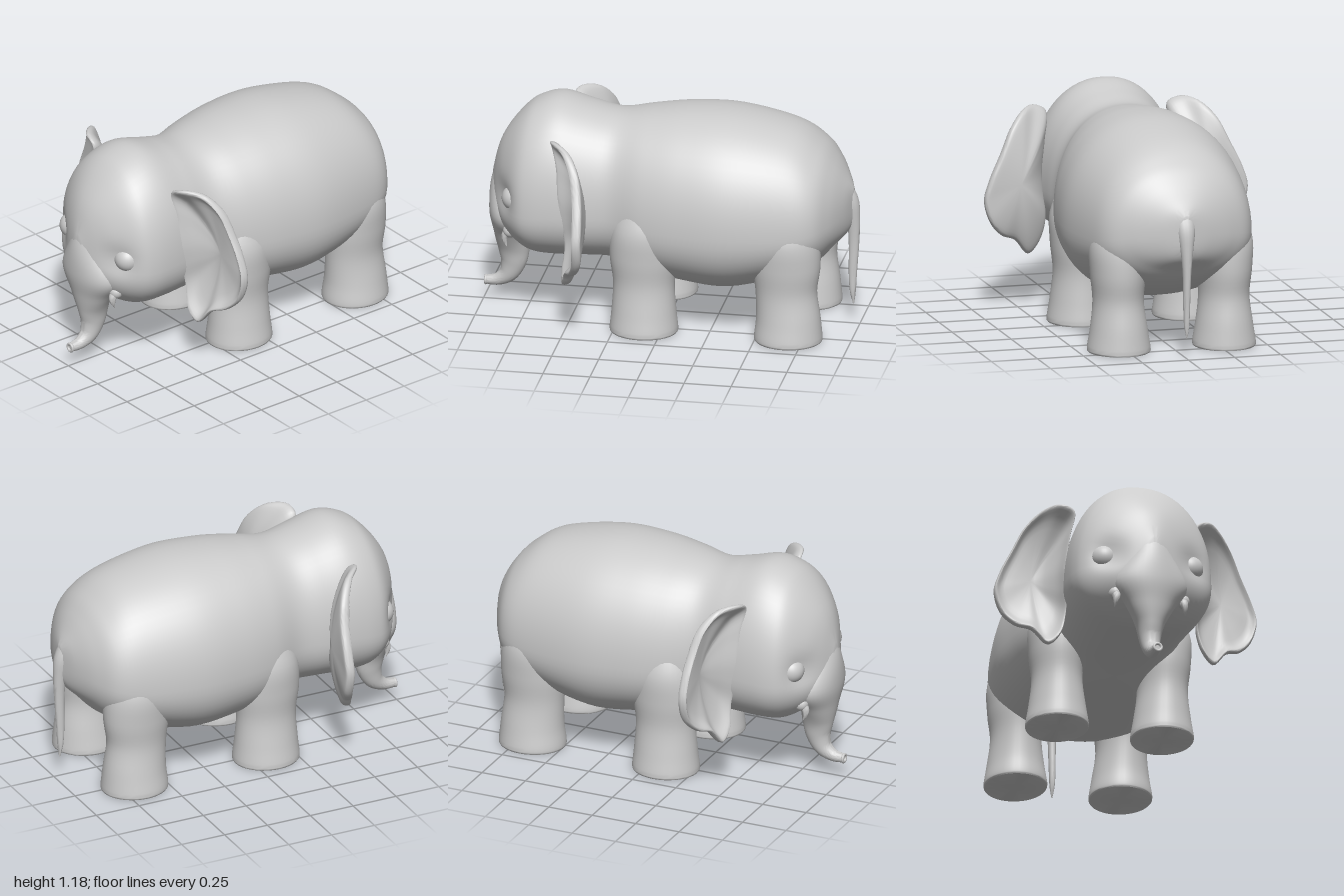
import * as THREE from 'three';
import { toCreasedNormals } from 'three/addons/utils/BufferGeometryUtils.js';

const material = new THREE.MeshStandardMaterial({ color: 0xcccccc, roughness: 0.8 });

// Smoothly resample rows of numbers (Catmull-Rom), n steps per span
function smoothRows(rows, n) {
  const at = (i) => rows[Math.max(0, Math.min(rows.length - 1, i))];
  const out = [];
  for (let i = 0; i < rows.length - 1; i++) {
    for (let k = 0; k < n; k++) {
      const t = k / n;
      out.push(rows[i].map((b, j) => {
        const a = at(i - 1)[j], c = at(i + 1)[j], d = at(i + 2)[j];
        return 0.5 * (2 * b + (c - a) * t + (2 * a - 5 * b + 4 * c - d) * t * t + (3 * b - a - 3 * c + d) * t ** 3);
      }));
    }
  }
  out.push(rows[rows.length - 1]);
  return out;
}

// Skin a list of closed rings and cap both ends
function loft(rings) {
  const m = rings[0].length, pos = [], idx = [];
  rings.forEach((r) => r.forEach((p) => pos.push(p.x, p.y, p.z)));
  for (let i = 0; i < rings.length - 1; i++) {
    for (let j = 0; j < m; j++) {
      const k = (j + 1) % m, a = i * m + j, b = i * m + k;
      idx.push(a, b, b + m, a, b + m, a + m);
    }
  }
  [0, rings.length - 1].forEach((i) => {
    const c = rings[i].reduce((s, p) => s.add(p), new THREE.Vector3()).divideScalar(m);
    const ci = pos.length / 3;
    pos.push(c.x, c.y, c.z);
    for (let j = 0; j < m; j++) {
      const a = i * m + j, b = i * m + (j + 1) % m;
      if (i === 0) idx.push(ci, b, a); else idx.push(ci, a, b);
    }
  });
  const g = new THREE.BufferGeometry();
  g.setAttribute('position', new THREE.Float32BufferAttribute(pos, 3));
  g.setIndex(idx);
  return toCreasedNormals(g, 0.9);
}

// Tapered limb through rows of [x, y, z, radius across, radius along the path's side]
function limb(rows, n = 5, sides = 28) {
  const pts = smoothRows(rows, n), X = new THREE.Vector3(1, 0, 0);
  const c = pts.map((p) => new THREE.Vector3(p[0], p[1], p[2]));
  return loft(pts.map((p, i) => {
    const T = c[Math.min(i + 1, c.length - 1)].clone().sub(c[Math.max(i - 1, 0)]);
    const N = T.cross(X).normalize();
    return Array.from({ length: sides }, (_, j) => {
      const a = (j / sides) * Math.PI * 2;
      return c[i].clone().addScaledVector(X, p[3] * Math.cos(a)).addScaledVector(N, p[4] * Math.sin(a));
    });
  }));
}

// Torso and head in one skin: [z, half width, top, widest height, bottom]
function bodyGeometry() {
  const stations = [
    [-0.97, 0.03, 0.76, 0.66, 0.58], [-0.94, 0.14, 0.82, 0.66, 0.52], [-0.88, 0.28, 0.92, 0.64, 0.46],
    [-0.8, 0.385, 1.01, 0.62, 0.38], [-0.65, 0.44, 1.1, 0.6, 0.3], [-0.35, 0.485, 1.16, 0.6, 0.215],
    [-0.1, 0.465, 1.16, 0.6, 0.23], [0.1, 0.42, 1.135, 0.6, 0.27], [0.27, 0.355, 1.11, 0.62, 0.32],
    [0.42, 0.365, 1.14, 0.62, 0.325], [0.58, 0.38, 1.18, 0.62, 0.32], [0.7, 0.375, 1.15, 0.61, 0.33],
    [0.78, 0.34, 1.09, 0.61, 0.37], [0.86, 0.24, 0.99, 0.61, 0.43], [0.91, 0.14, 0.89, 0.62, 0.5],
    [0.945, 0.04, 0.75, 0.63, 0.57],
  ];
  const sides = 64, round = (v) => Math.sign(v) * Math.abs(v) ** 0.92;
  return loft(smoothRows(stations, 6).map(([z, w, top, mid, bottom]) =>
    Array.from({ length: sides }, (_, j) => {
      const a = (j / sides) * Math.PI * 2, s = round(Math.sin(a));
      const p = new THREE.Vector3(w * round(Math.cos(a)), mid + s * (s > 0 ? top - mid : mid - bottom), z);
      // Shallow eye sockets
      if (z > 0.6) p.z -= 0.03 * Math.exp(-(((Math.abs(p.x) - 0.235) / 0.08) ** 2) - ((p.y - 0.67) / 0.08) ** 2);
      return p;
    })));
}

// Dished ear: one outline shrunk towards its centre, front then back
function earGeometry(side) {
  const outline = [
    [0.33, 1.03, 0.57], [0.4, 1.065, 0.56], [0.48, 1.05, 0.49], [0.56, 0.97, 0.43], [0.62, 0.85, 0.4],
    [0.69, 0.7, 0.385], [0.715, 0.6, 0.385], [0.68, 0.48, 0.39], [0.61, 0.405, 0.42], [0.53, 0.37, 0.46],
    [0.45, 0.285, 0.49], [0.39, 0.34, 0.5], [0.355, 0.47, 0.49], [0.36, 0.6, 0.52], [0.365, 0.72, 0.53],
    [0.345, 0.9, 0.54],
  ].map((p) => new THREE.Vector3(...p));
  const edge = new THREE.CatmullRomCurve3(outline, true).getPoints(80).slice(0, 80);
  const centre = new THREE.Vector3(0.52, 0.68, 0.395);
  const profile = [
    [0.02, 0], [0.3, 0], [0.6, 0], [0.8, 0], [0.9, 0.012], [0.96, 0.02], [0.99, 0.012], [1, -0.004],
    [0.98, -0.02], [0.93, -0.028], [0.8, -0.03], [0.6, -0.03], [0.3, -0.03], [0.02, -0.03],
  ];
  return loft(smoothRows(profile, 2).map(([t, lift]) => {
    const ring = edge.map((e) => {
      const p = centre.clone().lerp(e, t);
      p.z = THREE.MathUtils.lerp(centre.z, e.z, t * t) + lift;
      p.x *= side;
      return p;
    });
    return side < 0 ? ring.reverse() : ring;
  }));
}

export function createModel() {
  const model = new THREE.Group();
  model.name = 'elephant';
  const add = (name, geometry, x = 0, y = 0, z = 0) => {
    const mesh = new THREE.Mesh(geometry, material);
    mesh.name = name;
    mesh.position.set(x, y, z);
    model.add(mesh);
    return mesh;
  };

  add('bodyAndHead', bodyGeometry());

  // Trunk, broad at the lip and curling forward to the nostril
  add('trunk', limb([
    [0, 0.84, 0.79, 0.09, 0.1], [0, 0.68, 0.825, 0.13, 0.13], [0, 0.52, 0.84, 0.2, 0.125],
    [0, 0.4, 0.845, 0.13, 0.098], [0, 0.3, 0.838, 0.078, 0.084], [0, 0.22, 0.84, 0.058, 0.068],
    [0, 0.15, 0.868, 0.045, 0.05], [0, 0.112, 0.925, 0.032, 0.033], [0, 0.105, 0.985, 0.024, 0.024],
  ], 6, 36));
  add('nostrilRim', new THREE.TorusGeometry(0.02, 0.008, 10, 24), 0, 0.105, 0.987);

  // Tail
  add('tail', limb([
    [0, 0.77, -0.9, 0.06, 0.05], [0, 0.68, -0.945, 0.05, 0.05], [0, 0.58, -0.965, 0.034, 0.036],
    [0, 0.45, -0.968, 0.022, 0.028], [0, 0.28, -0.962, 0.018, 0.022], [0, 0.18, -0.962, 0.014, 0.016],
    [0, 0.11, -0.966, 0.003, 0.003],
  ], 5, 16));

  for (const [side, label] of [[1, 'left'], [-1, 'right']]) {
    // Legs, flared at the foot
    for (const [name, z, lean] of [['FrontLeg', 0.095, 0], ['HindLeg', -0.672, 0.01]]) {
      add(label + name, limb([
        [side * 0.286, 0, z, 0.162, 0.177], [side * 0.286, 0.02, z, 0.166, 0.18],
        [side * 0.286, 0.12, z, 0.15, 0.17], [side * 0.287, 0.27, z + lean, 0.132, 0.162],
        [side * 0.287, 0.42, z + lean, 0.146, 0.18], [side * 0.28, 0.58, z + lean, 0.155, 0.17],
        [side * 0.25, 0.75, z + lean, 0.12, 0.11],
      ], 5, 36));
    }

    add(label + 'Ear', earGeometry(side));

    // Eye with a raised lid
    add(label + 'Eye', new THREE.SphereGeometry(0.07, 32, 20), side * 0.233, 0.67, 0.79);
    const lid = add(label + 'Eyelid', new THREE.TorusGeometry(0.07, 0.017, 12, 36), side * 0.24, 0.672, 0.802);
    lid.rotation.y = side * 0.62;

    // Tusk in a small fleshy socket
    add(label + 'TuskSocket', new THREE.SphereGeometry(0.038, 20, 14), side * 0.182, 0.462, 0.825);
    add(label + 'Tusk', limb([
      [side * 0.182, 0.47, 0.825, 0.025, 0.025], [side * 0.184, 0.435, 0.85, 0.021, 0.021],
      [side * 0.188, 0.405, 0.852, 0.013, 0.013], [side * 0.192, 0.375, 0.842, 0.002, 0.002],
    ], 4, 16));
  }
  return model;
}
